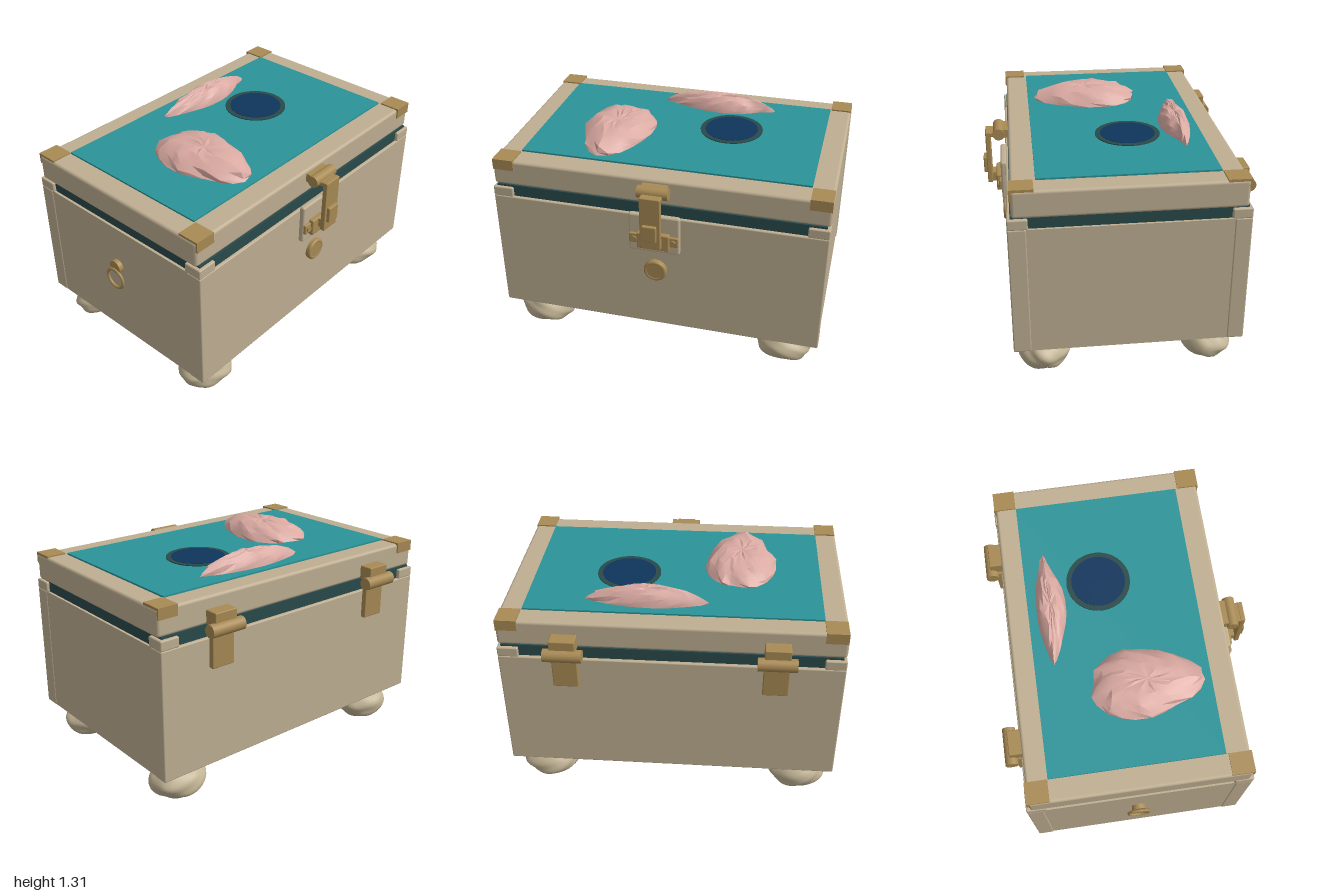
import * as THREE from 'three';
import { toCreasedNormals, mergeVertices } from 'three/addons/utils/BufferGeometryUtils.js';
import { RoundedBoxGeometry } from 'three/addons/geometries/RoundedBoxGeometry.js';

const mat = (name, color) => {
  const m = new THREE.MeshStandardMaterial({ color });
  m.name = name;
  return m;
};

export function createModel() {
  const root = new THREE.Group();
  root.name = 'chest';
  const wood = mat('tan wood', 0xbfaf92);
  const brass = mat('brass', 0xa88a54);
  const teal = mat('teal panel', 0x2b9498);
  const dark = mat('dark teal', 0x2a4a4b);
  const navy = mat('navy', 0x0e355c);
  const pink = mat('pink stone', 0xdaaaa2);
  const footMat = mat('foot stone', 0xc2b495);

  const add = (name, geo, material, parent = root) => {
    const m = new THREE.Mesh(geo, material);
    m.name = name;
    parent.add(m);
    return m;
  };
  // box given by its extents; r rounds the edges
  const box = (name, m, x0, x1, y0, y1, z0, z1, r = 0, parent = root) => {
    const s = [x1 - x0, y1 - y0, z1 - z0];
    const geo = r ? new RoundedBoxGeometry(...s, 2, r) : new THREE.BoxGeometry(...s);
    const mesh = add(name, geo, m, parent);
    mesh.position.set((x0 + x1) / 2, (y0 + y1) / 2, (z0 + z1) / 2);
    return mesh;
  };
  const cyl = (name, m, r, len, x, y, z, axis, parent = root) => {
    const geo = new THREE.CylinderGeometry(r, r, len, 32);
    if (axis === 'x') geo.rotateZ(Math.PI / 2);
    if (axis === 'z') geo.rotateX(Math.PI / 2);
    const mesh = add(name, geo, m, parent);
    mesh.position.set(x, y, z);
    return mesh;
  };

  // Body: front and back boards with side panels between them
  box('frontBoard', wood, -0.965, 0.995, 0.22, 0.99, 0.53, 0.63, 0.008);
  box('backBoard', wood, -0.965, 0.995, 0.22, 0.99, -0.675, -0.58, 0.008);
  box('sidePanels', wood, -0.96, 0.99, 0.222, 0.988, -0.585, 0.535);
  box('baseSlab', wood, -0.89, 0.915, 0.185, 0.225, -0.58, 0.535, 0.008);

  // Dark seam with corner blocks
  box('seam', dark, -0.945, 0.975, 0.98, 1.06, -0.655, 0.612);
  for (const [x0, x1] of [[-0.965, -0.845], [0.875, 0.995]])
    for (const [z0, z1] of [[0.52, 0.63], [-0.675, -0.565]])
      box('cornerBlock', wood, x0, x1, 0.988, 1.048, z0, z1, 0.008);

  // Lid, inset panel and corner brackets
  box('lid', wood, -0.965, 0.995, 1.055, 1.212, -0.65, 0.605, 0.018);
  box('lidPanel', teal, -0.835, 0.865, 1.19, 1.222, -0.525, 0.47);
  for (const [x0, x1] of [[-0.96, -0.835], [0.87, 0.992]])
    for (const s of [1, -1]) {
      const edge = s > 0 ? 0.613 : -0.658;
      const zs = (a, b) => [Math.min(a, b), Math.max(a, b)];
      const bracket = new THREE.Group();
      bracket.name = 'cornerBracket';
      root.add(bracket);
      box('bracketTop', brass, x0, x1, 1.205, 1.22, ...zs(edge, edge - s * 0.13), 0, bracket);
      box('bracketFace', brass, x0, x1, 1.155, 1.22, ...zs(edge, edge - s * 0.012), 0, bracket);
    }

  // Round inlay on the lid
  cyl('inlayRim', dark, 0.19, 0.008, 0.305, 1.223, -0.09, 'y');
  cyl('inlayDisc', navy, 0.16, 0.008, 0.305, 1.225, -0.09, 'y');

  // Low stones: shrinking rings over an outline, smoothly curved at the rim
  const stone = (name, outline, cx, cz, height) => {
    const curve = new THREE.CatmullRomCurve3(outline.map(([x, z]) => new THREE.Vector3(x - cx, 0, z - cz)), true);
    const n = 22;
    const rings = [[1, 0], [0.97, 0.2], [0.86, 0.5], [0.68, 0.78], [0.45, 0.97], [0.2, 0.96]];
    const pos = [], idx = [];
    rings.forEach(([k, h], j) => {
      for (let i = 0; i < n; i++) {
        const p = curve.getPoint(i / n);
        const w = j ? 0.05 * Math.sin(i * 2.3 + j * 1.7) : 0;
        const bump = j ? 0.06 * Math.sin(i * 1.9 - j * 2.1) : 0;
        pos.push(p.x * (k + w * k), height * Math.min(1, h + bump), p.z * (k + w * k));
      }
    });
    pos.push(0, height * 0.92, 0);
    for (let j = 0; j < rings.length; j++)
      for (let i = 0; i < n; i++) {
        const a = j * n + i, b = j * n + (i + 1) % n;
        if (j === rings.length - 1) idx.push(a, rings.length * n, b);
        else idx.push(a, a + n, b, b, a + n, b + n);
      }
    // wind the faces so that they point up
    const area = outline.reduce((s, [x, z], i) => {
      const [u, v] = outline[(i + 1) % outline.length];
      return s + x * v - u * z;
    }, 0);
    if (area > 0) for (let i = 0; i < idx.length; i += 3) [idx[i + 1], idx[i + 2]] = [idx[i + 2], idx[i + 1]];
    if (area > 0) idx.reverse(), idx.reverse();
    const geo = new THREE.BufferGeometry();
    geo.setAttribute('position', new THREE.Float32BufferAttribute(pos, 3));
    geo.setIndex(idx);
    // flip if the summit faces down
    geo.computeVertexNormals();
    if (geo.attributes.normal.getY(rings.length * n) < 0) {
      for (let i = 0; i < idx.length; i += 3) [idx[i + 1], idx[i + 2]] = [idx[i + 2], idx[i + 1]];
      geo.setIndex(idx);
    }
    add(name, toCreasedNormals(geo, 0.5), pink).position.set(cx, 1.22, cz);
  };
  stone('broadStone', [[-0.41, -0.22], [-0.5, -0.17], [-0.565, -0.04], [-0.575, 0.1], [-0.53, 0.22], [-0.47, 0.37],
    [-0.38, 0.435], [-0.27, 0.37], [-0.2, 0.24], [-0.15, 0.06], [-0.165, -0.08], [-0.24, -0.18], [-0.31, -0.2]], -0.365, 0.1, 0.09);
  stone('narrowStone', [[-0.18, -0.41], [-0.08, -0.445], [0.1, -0.475], [0.3, -0.465], [0.43, -0.435], [0.53, -0.395],
    [0.44, -0.37], [0.36, -0.33], [0.24, -0.3], [0.1, -0.305], [-0.02, -0.34], [-0.12, -0.375]], 0.17, -0.39, 0.09);

  // Lumpy feet: spheres pushed in and out by waves
  [[-0.76, 0.455], [0.787, 0.455], [-0.76, -0.505], [0.787, -0.505]].forEach(([x, z], k) => {
    let geo = new THREE.IcosahedronGeometry(1, 7);
    geo.deleteAttribute('normal');
    geo.deleteAttribute('uv');
    geo = mergeVertices(geo);
    const p = geo.attributes.position, v = new THREE.Vector3();
    for (let i = 0; i < p.count; i++) {
      v.fromBufferAttribute(p, i);
      const w = 0.03 * Math.sin(5 * v.x + 3 * v.y + k) + 0.025 * Math.sin(7 * v.z - 4 * v.y + 2 * k)
        + 0.02 * Math.sin(9 * v.y + 6 * v.x - 5 * v.z);
      v.multiplyScalar(1 + w);
      p.setXYZ(i, v.x * 0.172, Math.max(-0.103, v.y * 0.105), v.z * 0.147);
    }
    geo.computeVertexNormals();
    add('foot', geo, footMat).position.set(x, 0.103, z);
  });

  // Front latch
  const latch = new THREE.Group();
  latch.name = 'latch';
  root.add(latch);
  box('latchPlate', wood, -0.135, 0.165, 0.765, 1.01, 0.625, 0.66, 0.012, latch);
  box('latchBase', brass, -0.13, 0.16, 0.825, 0.888, 0.655, 0.675, 0.006, latch);
  box('latchCatch', brass, -0.08, 0.11, 0.8, 0.905, 0.655, 0.69, 0.008, latch);
  box('hasp', brass, -0.045, 0.075, 0.84, 1.17, 0.713, 0.743, 0.006, latch);
  box('haspTop', brass, -0.045, 0.075, 1.14, 1.168, 0.66, 0.743, 0.006, latch);
  box('haspBlock', brass, -0.028, 0.055, 0.9, 1.0, 0.735, 0.763, 0.006, latch);
  box('haspHook', brass, -0.03, 0.06, 0.845, 0.9, 0.68, 0.72, 0, latch);
  box('haspMount', brass, -0.06, 0.09, 1.14, 1.19, 0.6, 0.645, 0, latch);
  cyl('haspBarrel', brass, 0.035, 0.18, 0.015, 1.165, 0.662, 'x', latch);
  for (const x of [-0.1, 0.13]) cyl('rivet', brass, 0.017, 0.012, x, 0.855, 0.677, 'z', latch);

  // Round lock below the latch
  cyl('lockDisc', brass, 0.056, 0.03, 0.015, 0.627, 0.643, 'z');
  const rim = add('lockRim', new THREE.TorusGeometry(0.056, 0.013, 10, 40), brass);
  rim.position.set(0.015, 0.627, 0.648);
  cyl('lockBack', brass, 0.068, 0.02, 0.015, 0.627, 0.638, 'z');

  // Back hinges
  for (const x of [-0.58, 0.61]) {
    const hinge = new THREE.Group();
    hinge.name = 'hinge';
    root.add(hinge);
    cyl('hingeBarrel', brass, 0.038, 0.22, x, 1.047, -0.725, 'x', hinge);
    box('hingeUpper', brass, x - 0.073, x + 0.073, 1.055, 1.14, -0.73, -0.64, 0.006, hinge);
    box('hingeLeaf', brass, x - 0.073, x + 0.073, 0.815, 1.03, -0.705, -0.67, 0.006, hinge);
  }

  // Ring pull on the right side
  cyl('pullBoss', brass, 0.042, 0.028, -0.975, 0.725, -0.03, 'x');
  const pull = add('pullRing', new THREE.TorusGeometry(0.063, 0.009, 10, 36), brass);
  pull.rotation.y = Math.PI / 2;
  pull.position.set(-0.991, 0.645, -0.03);

  return root;
}
